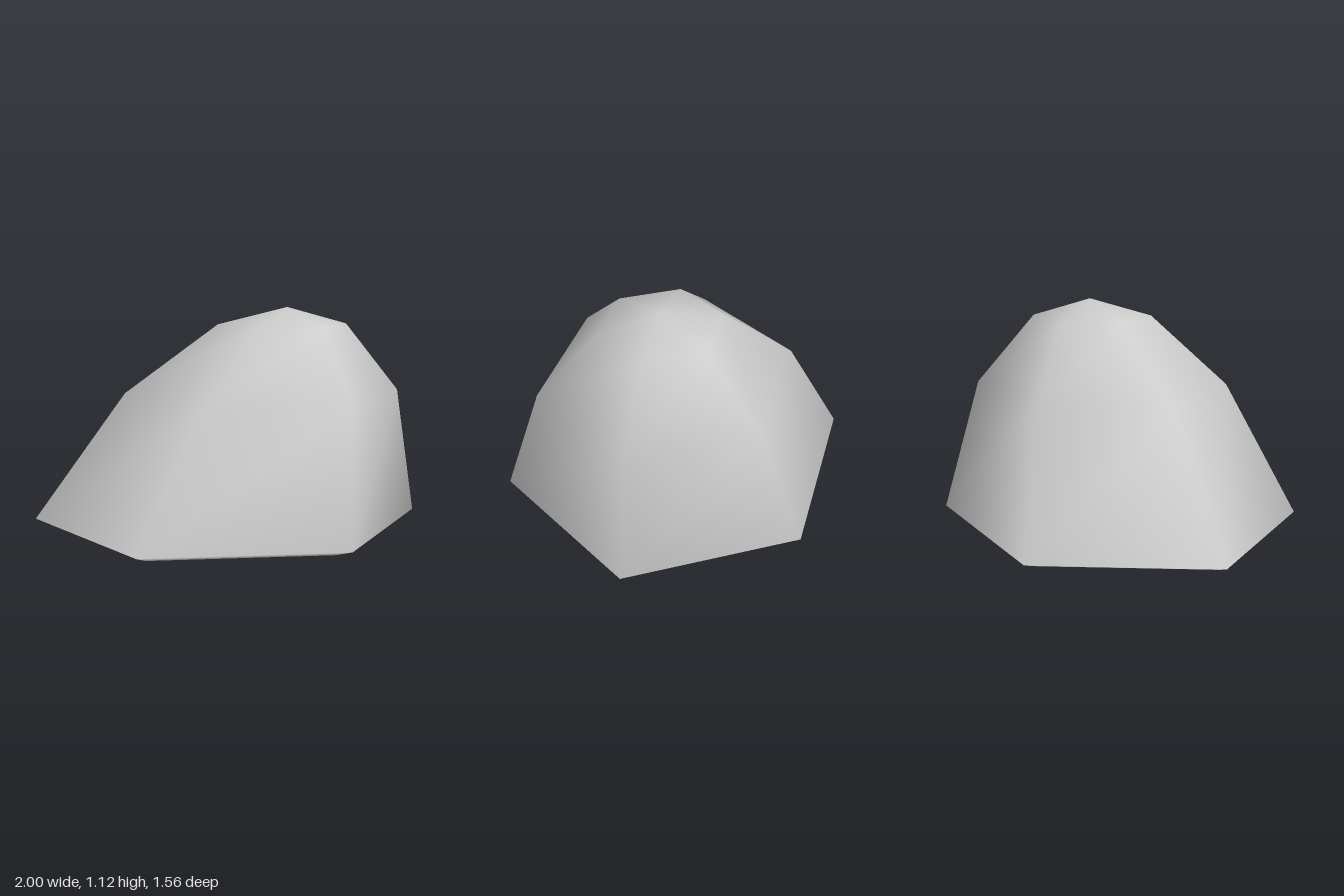
import * as THREE from 'three';

const SIDES = 6;

// Hexagonal cross-sections, bottom to top: [height, centre x, radius x, corner z]
const RINGS = [
  [0, -0.01, 0.89, 0.70],
  [0.035, 0, 1, 0.78],
  [0.685, 0.185, 0.715, 0.557],
  [1.035, 0.285, 0.335, 0.265],
];
const APEX = [0.31, 1.122, 0];

function createRockGeometry() {
  const positions = [];
  const indices = [];

  for (const [y, cx, rx, cornerZ] of RINGS) {
    const rz = cornerZ / Math.sin(Math.PI / 3);
    for (let i = 0; i < SIDES; i++) {
      const a = (i / SIDES) * Math.PI * 2;
      positions.push(cx + rx * Math.cos(a), y, rz * Math.sin(a));
    }
  }
  const base = RINGS.length * SIDES;
  const apex = base + 1;
  positions.push(RINGS[0][1], 0, 0, ...APEX);

  for (let i = 0; i < SIDES; i++) {
    const j = (i + 1) % SIDES;
    // Side bands
    for (let r = 0; r < RINGS.length - 1; r++) {
      const lo = r * SIDES, hi = lo + SIDES;
      indices.push(lo + i, hi + i, lo + j, lo + j, hi + i, hi + j);
    }
    // Underside and peak
    const top = (RINGS.length - 1) * SIDES;
    indices.push(base, i, j, top + i, apex, top + j);
  }

  const geometry = new THREE.BufferGeometry();
  geometry.setAttribute('position', new THREE.Float32BufferAttribute(positions, 3));
  geometry.setIndex(indices);
  geometry.computeVertexNormals();
  return geometry;
}

export function createModel() {
  const group = new THREE.Group();
  group.name = 'rock';
  const stone = new THREE.MeshStandardMaterial({ color: 0xcccccc });
  stone.name = 'light grey stone';

  // Leaning smooth-shaded boulder
  const boulder = new THREE.Mesh(createRockGeometry(), stone);
  boulder.name = 'boulder';
  group.add(boulder);
  return group;
}
